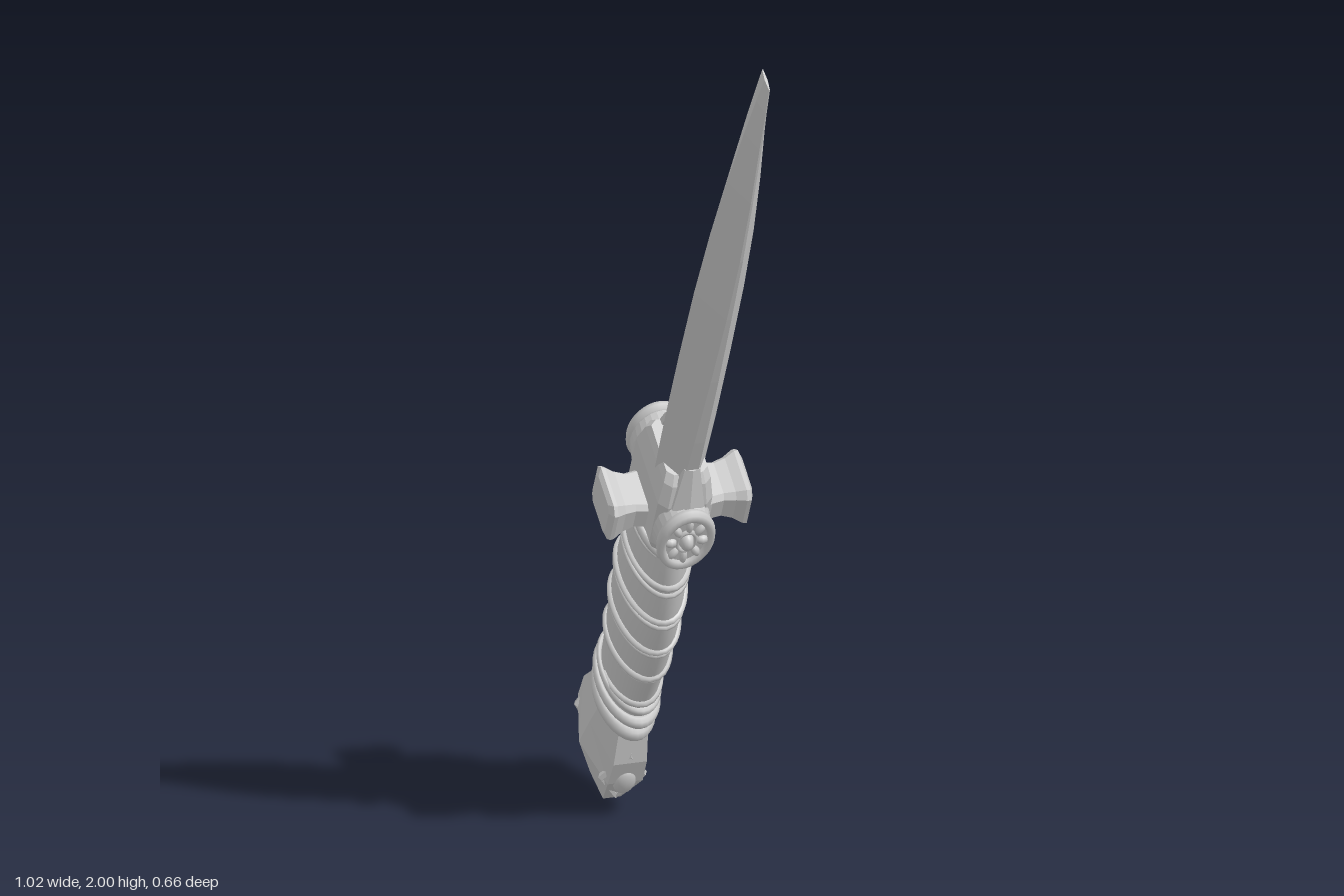
import * as THREE from 'three';

const flat = new THREE.MeshStandardMaterial({ color: 0xcccccc, flatShading: true });
const smooth = new THREE.MeshStandardMaterial({ color: 0xcccccc });

function add(parent, name, geometry, material = smooth) {
  const mesh = new THREE.Mesh(geometry, material);
  mesh.name = name;
  parent.add(mesh);
  return mesh;
}

// Skins cross-sections stacked along y; ring(section) gives [x, z] corners.
function loft(sections, ring) {
  const pos = [], index = [];
  const n = ring(sections[0]).length;
  for (const s of sections) for (const [x, z] of ring(s)) pos.push(x, s.y, z);
  for (let j = 0; j < sections.length - 1; j++) {
    for (let i = 0; i < n; i++) {
      const a = j * n + i, d = j * n + (i + 1) % n;
      index.push(a, a + n, d + n, a, d + n, d);
    }
  }
  // End caps
  const last = (sections.length - 1) * n;
  for (let i = 1; i < n - 1; i++) {
    index.push(0, i, i + 1, last, last + i + 1, last + i);
  }
  const g = new THREE.BufferGeometry();
  g.setAttribute('position', new THREE.Float32BufferAttribute(pos, 3));
  g.setIndex(index);
  g.computeVertexNormals();
  return g;
}

const section = ([y, x, z, f = 0, shift = 0]) => ({ y, x, z, f, shift });
// Diamond with narrow flats on the two z corners
const diamond = ({ x, z, f, shift }) => [
  [x, shift], [f, z + shift], [-f, z + shift], [-x, shift], [-f, shift - z], [f, shift - z],
];
// Rectangle with cut corners
const octagon = ({ x, z }) => {
  const c = 0.3 * Math.min(x, z);
  return [[x, -z + c], [x, z - c], [x - c, z], [-x + c, z], [-x, z - c], [-x, -z + c], [-x + c, -z], [x - c, -z]];
};
const oval = ({ x, z }) => Array.from({ length: 32 }, (_, i) => {
  const t = i / 32 * Math.PI * 2;
  return [x * Math.cos(t), z * Math.sin(t)];
});

// Grip half-widths at height y
const gripCurve = new THREE.CatmullRomCurve3([
  [0.09, 0.29, 0.048], [0.106, 0.38, 0.05], [0.122, 0.5, 0.054], [0.13, 0.62, 0.056],
  [0.121, 0.74, 0.053], [0.098, 0.88, 0.048],
].map((p) => new THREE.Vector3(...p)));
function gripAt(y) {
  const p = gripCurve.getPoint(THREE.MathUtils.clamp((y - 0.29) / 0.59, 0, 1));
  return { y, x: p.z, z: p.x };
}

// Cord running round the grip
function wrap(start, turns, y0, y1, thickness) {
  const points = [];
  for (let i = 0; i <= turns * 20; i++) {
    const k = i / (turns * 20), t = start - k * turns * Math.PI * 2;
    const g = gripAt(y0 + k * (y1 - y0));
    points.push(new THREE.Vector3(g.x * Math.cos(t), g.y, g.z * Math.sin(t)));
  }
  return new THREE.TubeGeometry(new THREE.CatmullRomCurve3(points), turns * 40, thickness, 6);
}

function makeGrip(hilt) {
  const rows = Array.from({ length: 25 }, (_, i) => gripAt(0.27 + i * 0.026));
  add(hilt, 'grip', loft(rows, oval));
  add(hilt, 'gripWrap', wrap(0, 5, 0.37, 0.85, 0.008));
  add(hilt, 'gripWrapInner', wrap(-0.9, 5, 0.38, 0.84, 0.006));
  // Collars at both ends of the grip
  for (const [y, r, t] of [[0.29, 0.095, 0.017], [0.335, 0.105, 0.013], [0.37, 0.104, 0.009], [0.85, 0.098, 0.013]]) {
    const ring = add(hilt, 'gripCollar', new THREE.TorusGeometry(r, t, 8, 32).rotateX(Math.PI / 2));
    ring.scale.x = 0.53;
    ring.position.y = y;
  }
}

function makePommel(hilt) {
  const rows = [
    [0, 0.012, 0.045, 0.008, 0.018], [0.03, 0.026, 0.07, 0.018, 0.018], [0.135, 0.064, 0.113, 0.036, 0.016],
    [0.2, 0.053, 0.113, 0.034, 0.012], [0.28, 0.042, 0.083, 0.03, 0],
  ].map(section);
  add(hilt, 'pommel', loft(rows, diamond), flat);
  // Raised lozenge frame on each broad face, with a boss on one
  for (const side of [1, -1]) {
    const frame = add(hilt, 'pommelFrame', new THREE.TorusGeometry(0.06, 0.009, 5, 4), flat);
    frame.scale.set(0.72, 1.35, 1);
    frame.position.set(0, 0.135, 0.015 + side * 0.092);
    frame.rotation.x = side * 0.18;
  }
  const boss = add(hilt, 'pommelBoss', new THREE.SphereGeometry(0.026, 12, 8));
  boss.scale.set(0.9, 1.4, 0.6);
  boss.position.set(0, 0.135, -0.092);
}

function makeGuard(hilt) {
  const core = [
    [0.86, 0.045, 0.085], [0.89, 0.056, 0.098], [1.01, 0.056, 0.098], [1.06, 0.048, 0.085], [1.08, 0.042, 0.07],
  ].map(section);
  add(hilt, 'guardCore', loft(core, octagon), flat);

  // Flared cross arms with slightly domed ends
  const arm = [
    [0.035, 0.046, 0.074], [0.065, 0.034, 0.052], [0.09, 0.034, 0.048], [0.113, 0.04, 0.054],
    [0.132, 0.05, 0.064], [0.14, 0.051, 0.065], [0.147, 0.04, 0.048],
  ].map(section);
  for (const side of [1, -1]) {
    const quillon = add(hilt, 'crossArm', loft(arm, octagon), flat);
    quillon.rotation.z = -side * Math.PI / 2;
    quillon.position.set(-0.01, 0.918, 0.004);
  }

  // Oval rosettes on the two broad faces
  for (const side of [1, -1]) {
    const rosette = new THREE.Group();
    rosette.name = 'rosette';
    rosette.position.set(0, 0.955 + side * 0.015, side * 0.108);
    rosette.scale.x = 0.68;
    if (side < 0) rosette.rotation.y = Math.PI;
    hilt.add(rosette);
    add(rosette, 'rosetteDisc', new THREE.CylinderGeometry(0.077, 0.085, 0.04, 28).rotateX(Math.PI / 2), flat);
    add(rosette, 'rosetteRim', new THREE.TorusGeometry(0.073, 0.014, 8, 32)).position.z = 0.016;
    add(rosette, 'rosetteInnerRing', new THREE.TorusGeometry(0.028, 0.006, 6, 20)).position.z = 0.02;
    add(rosette, 'rosetteBoss', new THREE.SphereGeometry(0.021, 12, 8)).position.z = 0.02;
    for (let i = 0; i < 8; i++) {
      const t = i / 8 * Math.PI * 2;
      const petal = add(rosette, 'rosettePetal', new THREE.SphereGeometry(0.016, 8, 6));
      petal.scale.set(1.2, 0.7, 0.7);
      petal.position.set(0.047 * Math.cos(t), 0.047 * Math.sin(t), 0.02);
      petal.rotation.z = t;
    }
    // Tongue clasping the blade above the rosette
    const tongue = add(hilt, 'bladeClasp', new THREE.CylinderGeometry(0.018, 0.038, 0.1, 6), flat);
    tongue.scale.z = 0.6;
    tongue.position.set(0, 1.06, side * 0.076 - 0.01);
    tongue.rotation.x = -side * 0.15;
  }
}

function makeBlade(parent) {
  const rows = [
    [1.0, 0.05, 0.06, 0.014], [1.2, 0.053, 0.069, 0.011], [1.4, 0.053, 0.075, 0.008], [1.6, 0.051, 0.077, 0.005],
    [1.78, 0.045, 0.074, 0.003], [1.95, 0.034, 0.062, 0.002], [2.1, 0.021, 0.046, 0.002],
    [2.2, 0.011, 0.035, 0.001], [2.265, 0.003, 0.026, 0.001],
  ].map(section);
  add(parent, 'blade', loft(rows, diamond), flat);
}

export function createModel() {
  const model = new THREE.Group();
  model.name = 'dagger';

  // Upright dagger, then tilted: y along the blade, x along the cross arms
  const dagger = new THREE.Group();
  dagger.name = 'tiltedDagger';
  const hilt = new THREE.Group();
  hilt.name = 'hilt';
  hilt.position.z = 0.02;
  dagger.add(hilt);
  makePommel(hilt);
  makeGrip(hilt);
  makeGuard(hilt);
  makeBlade(dagger);

  const along = new THREE.Vector3(0.925, 2, 0.582).normalize();
  const out = new THREE.Vector3(-0.53, 0, 0.85).cross(along).normalize();
  const across = along.clone().cross(out);
  dagger.quaternion.setFromRotationMatrix(new THREE.Matrix4().makeBasis(across, along, out));
  dagger.position.set(-0.436, 0, -0.27);
  model.add(dagger);

  // Stand on the ground
  dagger.position.y -= new THREE.Box3().setFromObject(model, true).min.y;
  return model;
}
